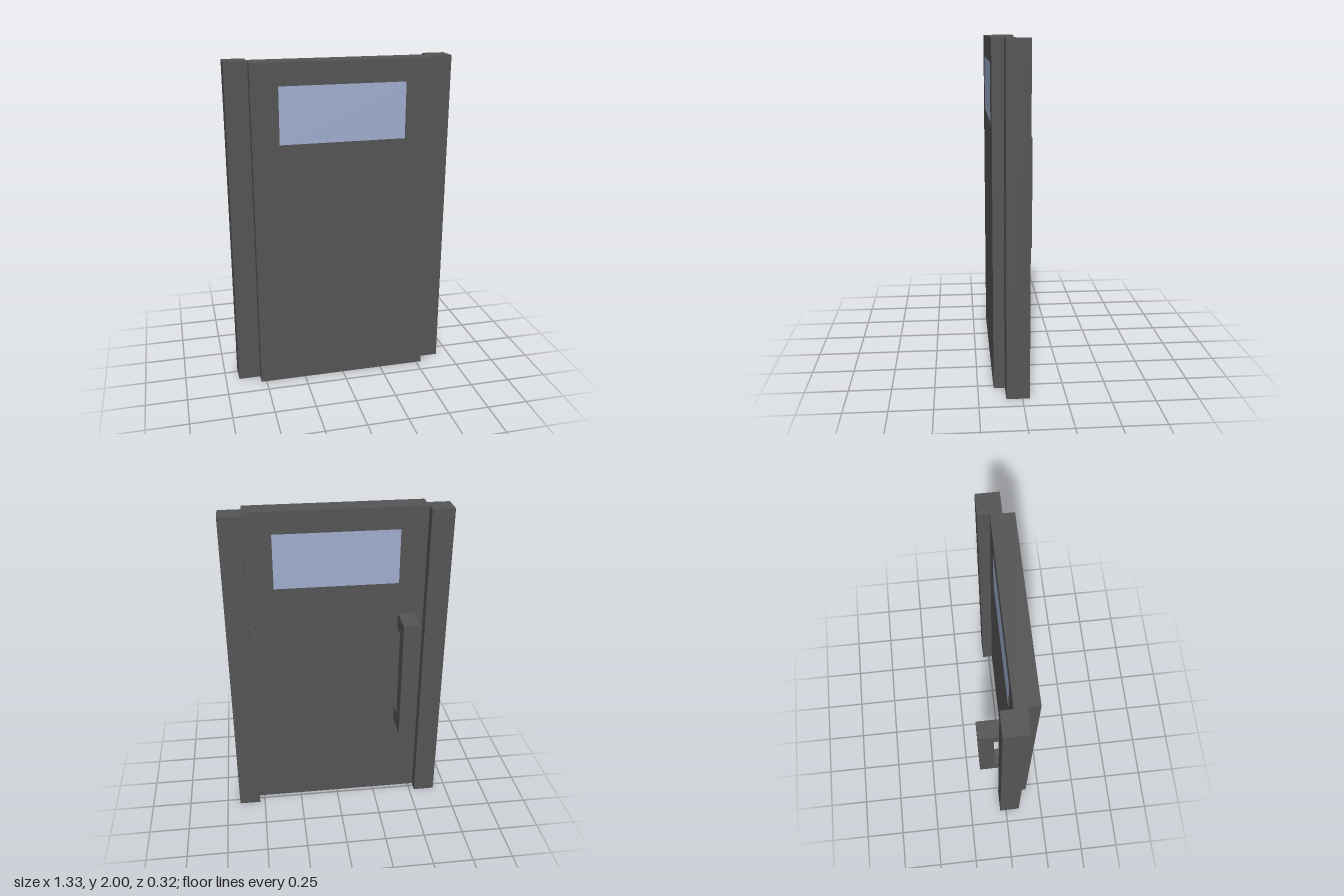
import * as THREE from 'three';

const frameMaterial = new THREE.MeshStandardMaterial({ color: 0x555555 });
const glassMaterial = new THREE.MeshStandardMaterial({ color: 0xa0aed0 });

// Rectangle outline from its limits
function rectPoints(x0, x1, y0, y1) {
  return [[x0, y0], [x1, y0], [x1, y1], [x0, y1]].map(([x, y]) => new THREE.Vector2(x, y));
}

// Box from its limits on each axis
function box(name, material, [x0, x1], [y0, y1], [z0, z1]) {
  const mesh = new THREE.Mesh(new THREE.BoxGeometry(x1 - x0, y1 - y0, z1 - z0), material);
  mesh.position.set((x0 + x1) / 2, (y0 + y1) / 2, (z0 + z1) / 2);
  mesh.name = name;
  return mesh;
}

export function createModel() {
  const group = new THREE.Group();
  group.name = 'door';
  const back = 0.025, front = 0.158;
  const win = [-0.375, 0.372, 1.533, 1.867];

  // Door panel with the window opening cut through
  const panelShape = new THREE.Shape(rectPoints(-0.533, 0.533, 0, 2));
  panelShape.holes.push(new THREE.Path(rectPoints(...win)));
  const panel = new THREE.Mesh(
    new THREE.ExtrudeGeometry(panelShape, { depth: front - back, bevelEnabled: false }), frameMaterial);
  panel.position.z = back;
  panel.name = 'doorPanel';
  group.add(panel);

  // Glass pane, flush with both faces of the panel
  group.add(box('windowPane', glassMaterial, [win[0], win[1]], [win[2], win[3]], [back, front]));

  // Side posts, set back from the panel
  group.add(box('leftPost', frameMaterial, [0.533, 0.667], [0, 2], [-0.042, 0.092]));
  group.add(box('rightPost', frameMaterial, [-0.667, -0.533], [0, 2], [-0.042, 0.092]));

  // C-shaped pull handle on the back: side profile (depth, height) extruded across x
  const handleShape = new THREE.Shape([
    [back, 0.567], [-0.158, 0.567], [-0.158, 1.333], [back, 1.333],
    [back, 1.233], [-0.063, 1.233], [-0.063, 0.667], [back, 0.667],
  ].map(([z, y]) => new THREE.Vector2(-z, y)));
  const handleGeometry = new THREE.ExtrudeGeometry(handleShape, { depth: 0.103, bevelEnabled: false });
  handleGeometry.rotateY(Math.PI / 2);
  const handle = new THREE.Mesh(handleGeometry, frameMaterial);
  handle.position.x = -0.48;
  handle.name = 'pullHandle';
  group.add(handle);

  return group;
}
